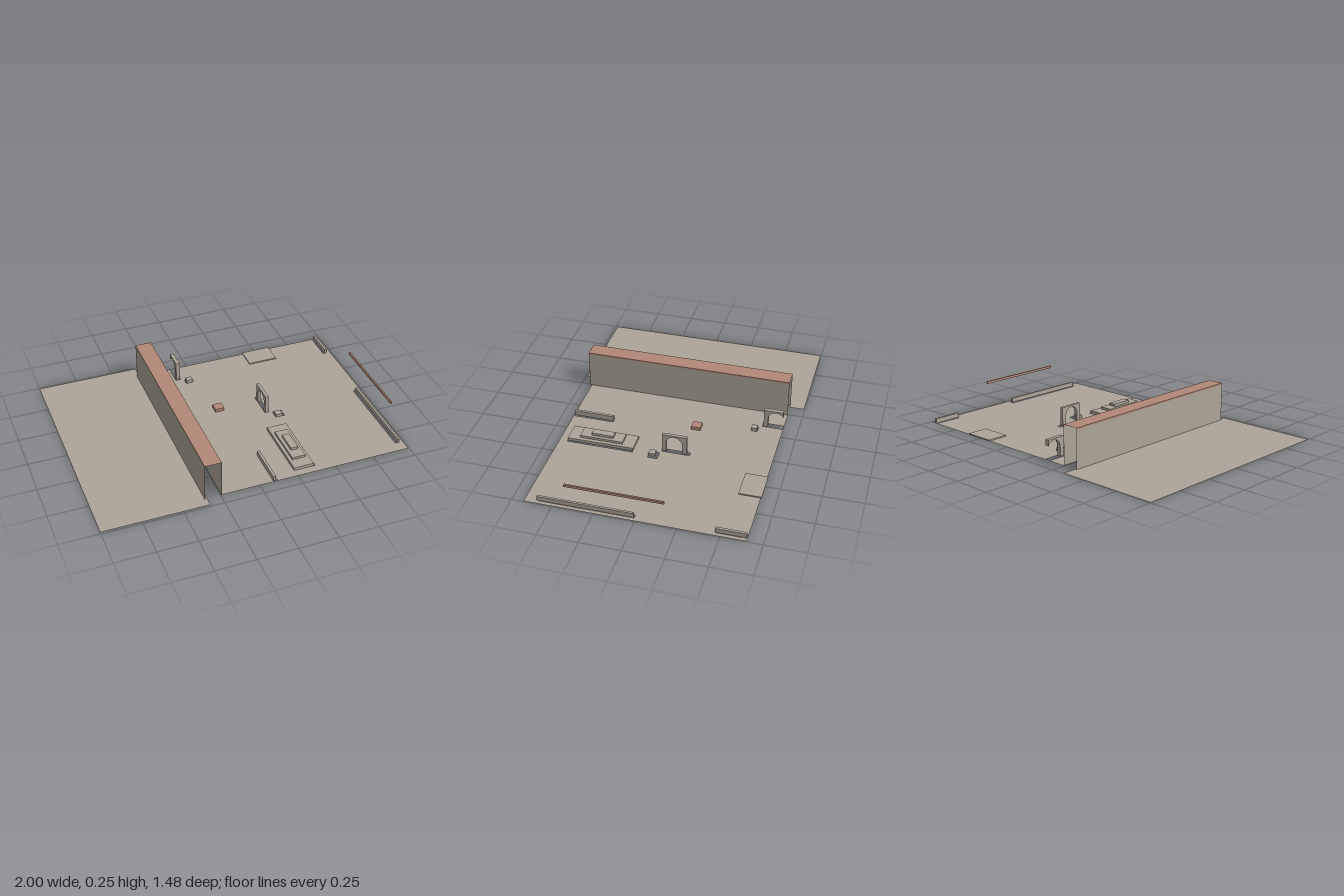
import * as THREE from 'three';

export function createModel() {
  const model = new THREE.Group();
  const stone = new THREE.MeshStandardMaterial({ color: 0xada598, side: THREE.DoubleSide });
  stone.name = 'stone';
  const clay = new THREE.MeshStandardMaterial({ color: 0xb28878, side: THREE.DoubleSide });
  clay.name = 'clay';

  const add = (name, geometry, material = stone) => {
    const mesh = new THREE.Mesh(geometry, material);
    mesh.name = name;
    model.add(mesh);
    return mesh;
  };

  // Box given by its limits on each axis
  const block = (name, x0, x1, y0, y1, z0, z1, material) =>
    add(name, new THREE.BoxGeometry(x1 - x0, y1 - y0, z1 - z0), material)
      .position.set((x0 + x1) / 2, (y0 + y1) / 2, (z0 + z1) / 2);

  // Flat ground sheet with rectangular openings [x0, x1, z0, z1]
  const sheet = (name, x0, x1, z0, z1, openings = [], y = 0, material = stone) => {
    const rect = (C, a, b, c, d) => new C([[a, -d], [b, -d], [b, -c], [a, -c]]
      .map(([u, v]) => new THREE.Vector2(u, v)));
    const shape = rect(THREE.Shape, x0, x1, z0, z1);
    shape.holes = openings.map((o) => rect(THREE.Path, ...o));
    add(name, new THREE.ShapeGeometry(shape).rotateX(-Math.PI / 2), material).position.y = y;
  };

  // Ground
  sheet('lowerGround', -1, -0.335, -0.745, 0.737);
  sheet('courtyardGround', -0.245, 0.995, -0.655, 0.677, [
    [-0.12, -0.085, -0.65, -0.52],
    [-0.065, -0.02, -0.5, -0.46],
    [0.005, 0.065, -0.15, -0.09],
    [0.303, 0.329, -0.15, 0.027],
    [0.35, 0.41, 0.035, 0.095],
    [0.245, 0.385, 0.2, 0.625],
    [0.09, 0.117, 0.41, 0.674],
    [0.943, 0.97, 0.01, 0.6],
    [0.943, 0.97, -0.65, -0.465],
  ]);

  // Hollow long wall, open at its ends, with a clay cap
  const wallZ0 = -0.653, wallZ1 = 0.687;
  const wallSide = (name, x, y0, y1, dir, material) =>
    add(name, new THREE.PlaneGeometry(wallZ1 - wallZ0, y1 - y0).rotateY(dir * Math.PI / 2), material)
      .position.set(x, (y0 + y1) / 2, (wallZ0 + wallZ1) / 2);
  for (const [x, dir] of [[-0.35, -1], [-0.245, 1]]) {
    wallSide('wallFace', x, 0, 0.242, dir, stone);
    wallSide('wallCapEdge', x, 0.242, 0.252, dir, clay);
  }
  sheet('wallCap', -0.35, -0.245, wallZ0, wallZ1, [], 0.252, clay);

  // Stepped platform
  block('platformBase', 0.245, 0.375, 0, 0.02, 0.2, 0.625);
  block('platformMiddle', 0.265, 0.352, 0.02, 0.036, 0.275, 0.55);
  block('platformTop', 0.286, 0.332, 0.036, 0.053, 0.34, 0.48);

  // Arches, drawn along -z and extruded along x
  const arch = (name, x0, x1, points, cx, endAngle) => {
    const shape = new THREE.Shape(points.map(([u, v]) => new THREE.Vector2(u, v)));
    shape.absarc(cx, 0.065, 0.05, endAngle, Math.PI, false);
    shape.lineTo(cx - 0.05, 0);
    const geometry = new THREE.ExtrudeGeometry(shape,
      { depth: x1 - x0, bevelEnabled: false, curveSegments: 12 });
    add(name, geometry.rotateY(Math.PI / 2)).position.x = x0;
  };
  arch('centreArch', 0.304, 0.325,
    [[-0.027, 0], [-0.027, 0.125], [0.13, 0.125], [0.13, 0], [0.1, 0]], 0.05, 0);
  arch('brokenArch', -0.113, -0.087,
    [[0.527, 0], [0.527, 0.125], [0.65, 0.125]], 0.605, Math.acos(0.9));

  // Small footing blocks
  block('footingBlock', -0.06, -0.02, 0, 0.022, -0.497, -0.46);
  block('footingBlock', 0.352, 0.395, 0, 0.02, 0.055, 0.095);
  block('clayBlock', 0.005, 0.065, 0, 0.022, -0.15, -0.09, clay);

  // Low parapets
  block('frontParapet', 0.09, 0.107, 0, 0.033, 0.41, 0.67);
  block('sideParapet', 0.954, 0.968, 0, 0.029, 0.015, 0.605);
  block('sideParapet', 0.952, 0.968, 0, 0.029, -0.65, -0.465);

  // Thin slab at the back edge
  block('backSlab', 0.415, 0.61, 0, 0.008, -0.66, -0.52);

  // Raised clay beam
  block('clayBeam', 0.988, 0.998, 0.165, 0.181, -0.177, 0.42, clay);

  return model;
}
